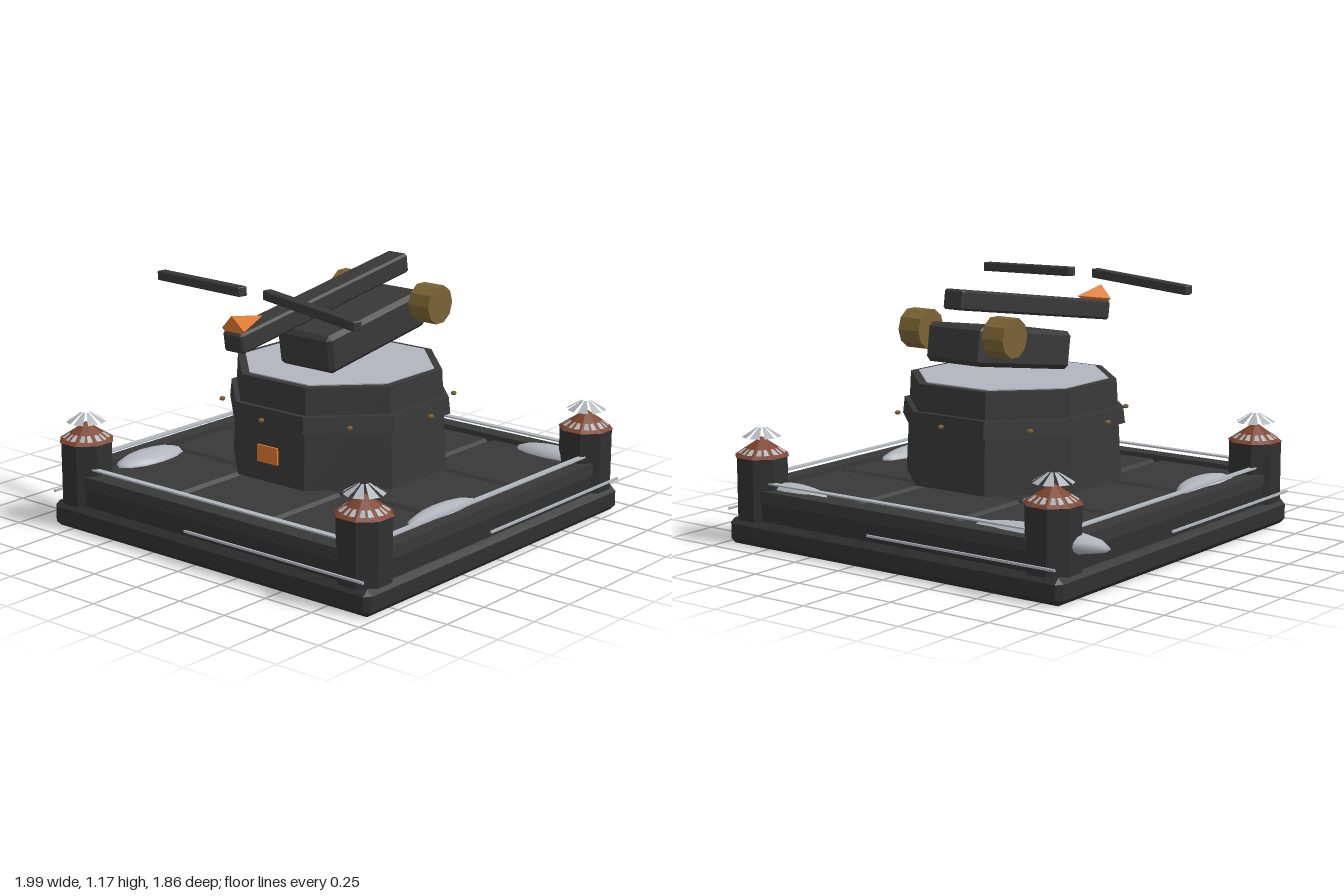
import * as THREE from 'three';
import { ConvexGeometry } from 'three/addons/geometries/ConvexGeometry.js';

const mat = (name, color) => new THREE.MeshStandardMaterial({ name, color });
const CX = 0.06; // platform centre in x

export function createModel() {
  const stone = mat('dark stone', 0x303030);
  const iron = mat('dark iron', 0x383838);
  const snow = mat('snow grey', 0xb2b6bc);
  const brass = mat('brass', 0x7a6334);
  const orange = mat('orange', 0xd9762b);
  const rust = mat('rust brown', 0x7d452f);

  const model = new THREE.Group();
  const body = new THREE.Group();
  body.name = 'body';
  body.position.x = CX;
  model.add(body);

  const add = (parent, name, geo, material, x = 0, y = 0, z = 0) => {
    const m = new THREE.Mesh(geo, material);
    m.name = name;
    m.position.set(x, y, z);
    parent.add(m);
    return m;
  };
  const flat = (geo) => {
    const g = geo.toNonIndexed();
    g.computeVertexNormals();
    return g;
  };
  const box = (w, h, d) => new THREE.BoxGeometry(w, h, d);
  // box with every edge chamfered by c
  const chamferBox = (w, h, d, c) => {
    const pts = [];
    for (const sx of [-1, 1]) for (const sy of [-1, 1]) for (const sz of [-1, 1]) {
      const [x, y, z] = [w / 2, h / 2, d / 2];
      pts.push(
        new THREE.Vector3(sx * x, sy * (y - c), sz * (z - c)),
        new THREE.Vector3(sx * (x - c), sy * y, sz * (z - c)),
        new THREE.Vector3(sx * (x - c), sy * (y - c), sz * z));
    }
    return new ConvexGeometry(pts);
  };
  // octagonal drum with flats facing the axes, sized by its half widths
  const drum = (top, bottom, h) => {
    const k = 1 / Math.cos(Math.PI / 8);
    return flat(new THREE.CylinderGeometry(top * k, bottom * k, h, 8).rotateY(Math.PI / 8));
  };

  // platform
  add(body, 'plinth', chamferBox(1.84, 0.118, 1.84, 0.025), stone, 0, 0.059, 0);
  add(body, 'floorSlab', box(1.7, 0.11, 1.7), stone, 0, 0.165, 0);
  for (let i = -1; i <= 1; i++) for (let j = -1; j <= 1; j++)
    add(body, 'floorTile', chamferBox(0.525, 0.05, 0.525, 0.015), iron, i * 0.545, 0.217, j * 0.545);

  // one side wall and one corner tower, turned four times
  for (let i = 0; i < 4; i++) {
    const side = new THREE.Group();
    side.name = 'platformSide';
    side.rotation.y = i * Math.PI / 2;
    body.add(side);
    add(side, 'wall', box(1.5, 0.1, 0.07), stone, 0, 0.165, 0.855);
    add(side, 'wallCap', box(1.5, 0.055, 0.08), iron, 0, 0.231, 0.855);
    add(side, 'snowRail', box(1.45, 0.007, 0.03), snow, 0, 0.289, 0.855);
    add(side, 'lowerRail', box(0.99, 0.01, 0.01), snow, 0.405, 0.155, 0.925);
    const tower = new THREE.Group();
    tower.name = 'cornerTower';
    tower.position.set(0.805, 0, 0.805);
    side.add(tower);
    add(tower, 'towerPost', drum(0.112, 0.112, 0.29), stone, 0, 0.26, 0);
    add(tower, 'towerRoof', drum(0.001, 0.118, 0.085), rust, 0, 0.443, 0);
    addRoofSnow(tower, snow);
  }

  // snow drifts: centre x, z and half sizes x, z
  for (const [x, z, rx, rz] of [
    [-0.65, -0.76, 0.35, 0.09], [0.7, -0.78, 0.2, 0.07],
    [-0.69, 0.46, 0.09, 0.205], [0.83, 0.23, 0.07, 0.24]]) {
    add(model, 'snowDrift', new THREE.SphereGeometry(1, 12, 8).scale(rx, 0.05, rz), snow, x, 0.235, z);
  }

  // octagonal turret
  add(body, 'turretBase', drum(0.445, 0.468, 0.458), iron, 0, 0.509, 0);
  add(body, 'turretBand', drum(0.474, 0.482, 0.077), iron, 0, 0.577, 0);
  add(body, 'turretTop', drum(0.41, 0.41, 0.008), snow, 0, 0.739, 0);
  for (let i = 0; i < 8; i++) {
    const a = i * Math.PI / 4;
    add(body, 'bolt', new THREE.SphereGeometry(0.015, 6, 4).scale(1, 0.7, 1), brass,
      Math.sin(a) * 0.525, 0.577, Math.cos(a) * 0.525);
  }
  add(body, 'frontHatch', box(0.115, 0.077, 0.01), orange, 0, 0.412, 0.485);

  // tilted housing and beam
  const tilt = 0.15;
  add(body, 'housing', chamferBox(0.315, 0.175, 0.68, 0.02), iron, 0, 0.882, -0.095).rotation.x = tilt;
  add(body, 'beam', chamferBox(0.112, 0.09, 1.15, 0.01), iron, 0, 1.043, 0.135).rotation.x = tilt;
  for (const s of [-1, 1]) {
    const g = new THREE.CylinderGeometry(0.09, 0.09, 0.113, 10).rotateZ(Math.PI / 2);
    add(body, 'sideDrum', flat(g), brass, s * 0.232, 0.975, -0.37);
  }
  const nose = new THREE.ConeGeometry(0.063, 0.19, 4).rotateX(-Math.PI / 2);
  add(body, 'noseCone', flat(nose), orange, 0, 1.029, 0.605).rotation.x = tilt;

  // two drooping rotor blades
  for (const s of [-1, 1]) {
    const blade = add(body, 'rotorBlade', chamferBox(0.6, 0.042, 0.046, 0.004), iron,
      s * 0.35, 1.137, 0.56 + s * 0.04);
    blade.rotation.set(0, -0.18, -s * 0.045);
  }
  return model;
}

// snow on a tower roof: eight low slabs below, eight raised wedges above
function addRoofSnow(tower, material) {
  const ring = (name, r0, y0, r1, y1, fill) => {
    const pos = [];
    for (let i = 0; i < 8; i++) {
      const a = (i + 0.5) * Math.PI / 4;
      const p = (r, y, s) => {
        const t = a + s * fill * Math.PI / 8;
        return [Math.sin(t) * r, y, Math.cos(t) * r];
      };
      const A = p(r0, y0, -1), B = p(r0, y0, 1), C = p(r1, y1, 1), D = p(r1, y1, -1);
      pos.push(...D, ...C, ...B, ...D, ...B, ...A);
    }
    const g = new THREE.BufferGeometry();
    g.setAttribute('position', new THREE.Float32BufferAttribute(pos, 3));
    g.computeVertexNormals();
    const m = new THREE.Mesh(g, material);
    m.name = name;
    tower.add(m);
  };
  ring('roofSnow', 0.075, 0.436, 0.108, 0.415, 0.85);
  ring('roofSnowCrown', 0.02, 0.53, 0.09, 0.487, 0.7);
}
